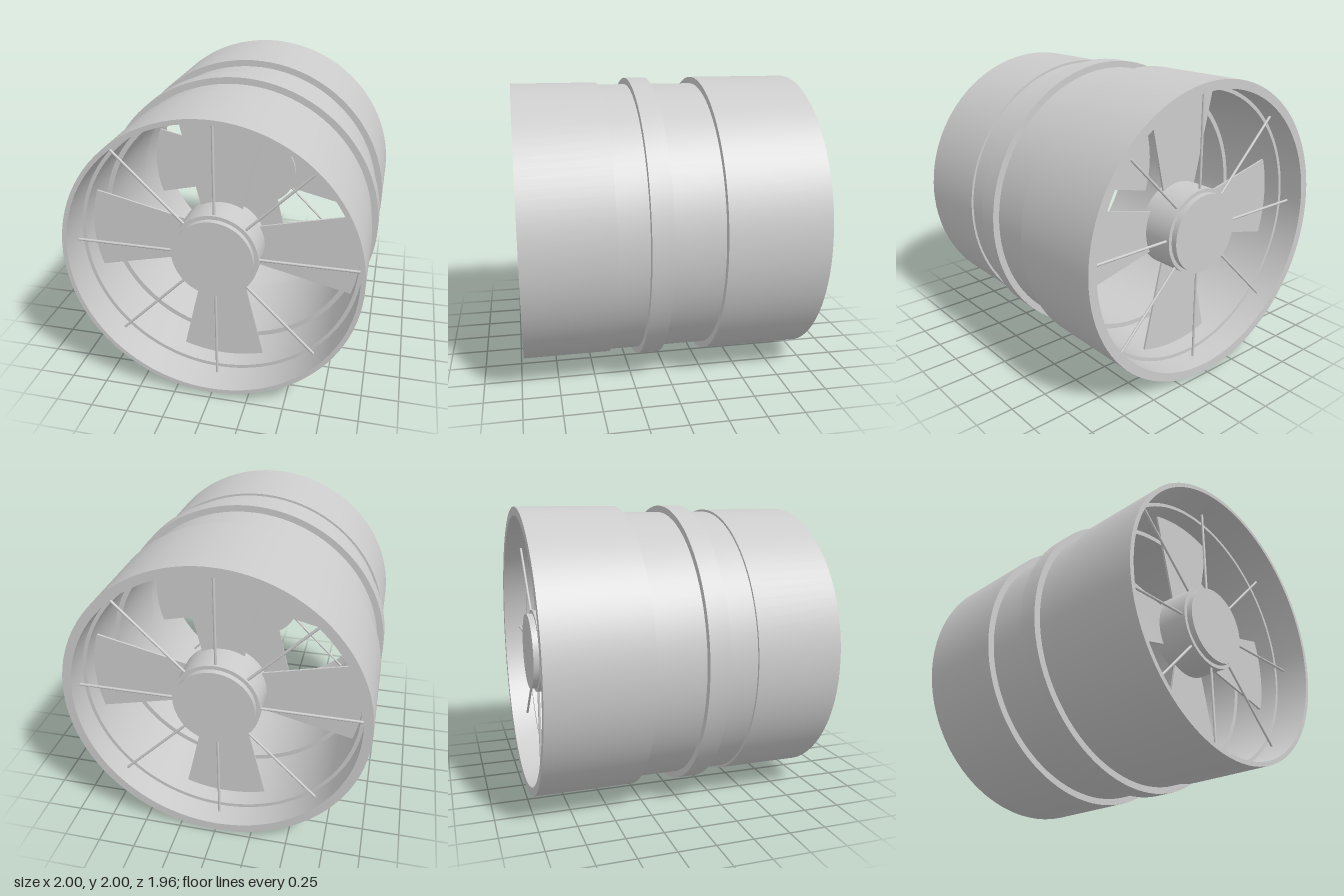
import * as THREE from 'three';
import { toCreasedNormals } from 'three/addons/utils/BufferGeometryUtils.js';

const material = new THREE.MeshStandardMaterial({ color: 0xcccccc, side: THREE.DoubleSide });

function part(name, geometry) {
  const mesh = new THREE.Mesh(geometry, material);
  mesh.name = name;
  return mesh;
}

// Revolves [radius, z] points around the z axis, keeping edges sharp
function turned(name, points) {
  const geometry = new THREE.LatheGeometry(points.map(([r, z]) => new THREE.Vector2(r, z)), 96);
  geometry.rotateX(Math.PI / 2);
  return part(name, toCreasedNormals(geometry, 0.5));
}

// Tapered flat blade pointing up, with a curved tip
function bladeGeometry() {
  const tip = 0.913, half = Math.asin(0.285 / tip);
  const shape = new THREE.Shape();
  shape.moveTo(-0.14, 0.25);
  shape.lineTo(0.14, 0.25);
  shape.absarc(0, 0, tip, Math.PI / 2 - half, Math.PI / 2 + half, false);
  shape.closePath();
  return new THREE.ExtrudeGeometry(shape, { depth: 0.014, bevelEnabled: false, curveSegments: 16 });
}

// Fan unit with its blades near z = 0, facing +z
function fan(name) {
  const group = new THREE.Group();
  group.name = name;

  group.add(turned('hub', [
    [0, -0.03], [0.29, -0.03], [0.29, 0.225], [0.265, 0.225], [0.265, 0.265], [0, 0.265],
  ]));

  const blade = bladeGeometry();
  for (let i = 0; i < 4; i++) {
    const mesh = part('blade', blade);
    mesh.rotation.z = i * Math.PI / 2;
    group.add(mesh);
  }

  // Thin guard rods from hub to wall
  const rod = new THREE.CylinderGeometry(0.009, 0.009, 0.67, 12);
  rod.translate(0, 0.605, 0.2);
  for (let i = 0; i < 8; i++) {
    const mesh = part('guardRod', rod);
    mesh.rotation.z = i * Math.PI / 4;
    group.add(mesh);
  }
  return group;
}

export function createModel() {
  const model = new THREE.Group();
  model.name = 'ductFan';

  const duct = new THREE.Group();
  duct.name = 'duct';
  duct.position.y = 1;
  model.add(duct);

  // Stepped tube: outside from back to front, then the bore back again
  duct.add(turned('casing', [
    [0.94, -0.98], [1, -0.98], [1, -0.295], [0.955, -0.295],
    [0.955, 0.045], [1, 0.045], [1, 0.185], [0.955, 0.185],
    [0.955, 0.39], [0.97, 0.39], [0.97, 0.98], [0.94, 0.98],
    [0.94, 0.74], [0.915, 0.74], [0.915, 0.39], [0.88, 0.39],
    [0.88, -0.295], [0.915, -0.295], [0.915, -0.8], [0.94, -0.8], [0.94, -0.98],
  ]));

  // One fan at each end, facing outwards
  const front = fan('frontFan');
  front.position.z = 0.6;
  const back = fan('backFan');
  back.position.z = -0.66;
  back.rotation.y = Math.PI;
  duct.add(front, back);

  return model;
}
